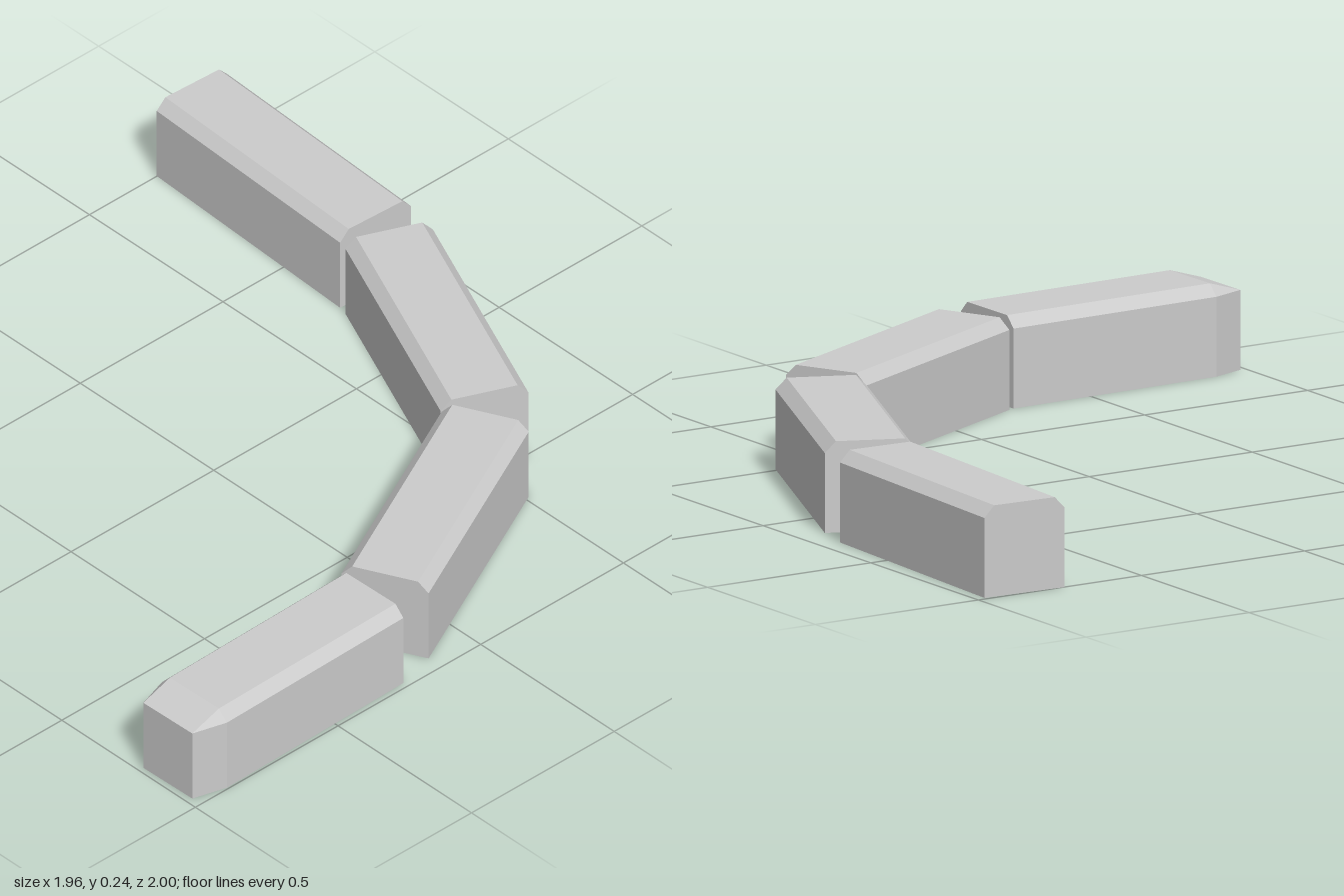
import * as THREE from 'three';

const LENGTH = 0.725, HALF_W = 0.119, ROOF_HALF = 0.09, EAVE = 0.21, ROOF = 0.24;

const material = new THREE.MeshStandardMaterial({
  color: 0xcccccc, flatShading: true, side: THREE.DoubleSide,
});

// Open-bottomed cross-section: up one wall, over the bevelled roof, down the other
const section = (x, halfW, roofY) => [
  [x, 0, -halfW], [x, EAVE, -halfW], [x, roofY, -ROOF_HALF],
  [x, roofY, ROOF_HALF], [x, EAVE, halfW], [x, 0, halfW],
];

// Skin a row of cross-sections and close both ends
function shell(sections) {
  const n = sections[0].length, index = [];
  for (let i = 0; i < sections.length - 1; i++) {
    for (let j = 0; j < n - 1; j++) {
      const a = i * n + j, d = a + n;
      index.push(a, a + 1, d + 1, a, d + 1, d);
    }
  }
  const last = (sections.length - 1) * n;
  for (let j = 1; j < n - 1; j++) {
    index.push(0, j + 1, j);
    index.push(last, last + j, last + j + 1);
  }
  const geometry = new THREE.BufferGeometry();
  geometry.setAttribute('position', new THREE.Float32BufferAttribute(sections.flat(2), 3));
  geometry.setIndex(index);
  const flat = geometry.toNonIndexed();
  flat.computeVertexNormals();
  return flat;
}

function add(parent, name, geometry) {
  const mesh = new THREE.Mesh(geometry, material);
  mesh.name = name;
  parent.add(mesh);
  return mesh;
}

export function createModel() {
  const train = new THREE.Group();
  train.name = 'train';

  const h = LENGTH / 2;
  const rear = section(h, HALF_W, ROOF);
  const carBody = shell([section(-h, HALF_W, ROOF), rear]);
  // Leading car: the nose narrows to the roof width and dips to the eaves
  const leadBody = shell([
    section(-h, ROOF_HALF, EAVE), section(-h + 0.095, HALF_W, ROOF), rear,
  ]);
  const couplerBar = new THREE.BoxGeometry(0.13, 0.022, 0.04);

  // Cars along the curve: centre x, centre z, direction from front to rear
  const cars = [
    { name: 'leadCar', x: -0.62, z: 0.871, dx: 0.72, dz: -0.014 },
    { name: 'secondCar', x: 0.135, z: 0.685, dx: 0.65, dz: -0.32 },
    { name: 'thirdCar', x: 0.66, z: 0.13, dx: 0.288, dz: -0.665 },
    { name: 'lastCar', x: 0.838, z: -0.633, dx: 0.035, dz: -0.725 },
  ];
  cars.forEach(({ name, x, z, dx, dz }, i) => {
    const car = new THREE.Group();
    car.name = name;
    car.position.set(x, 0, z);
    car.rotation.y = Math.atan2(-dz, dx);
    add(car, 'body', i === 0 ? leadBody : carBody);
    // Bar reaching through the end walls to the car ahead
    if (i > 0) add(car, 'coupler', couplerBar).position.set(-h - 0.04, 0.035, 0);
    train.add(car);
  });
  return train;
}
